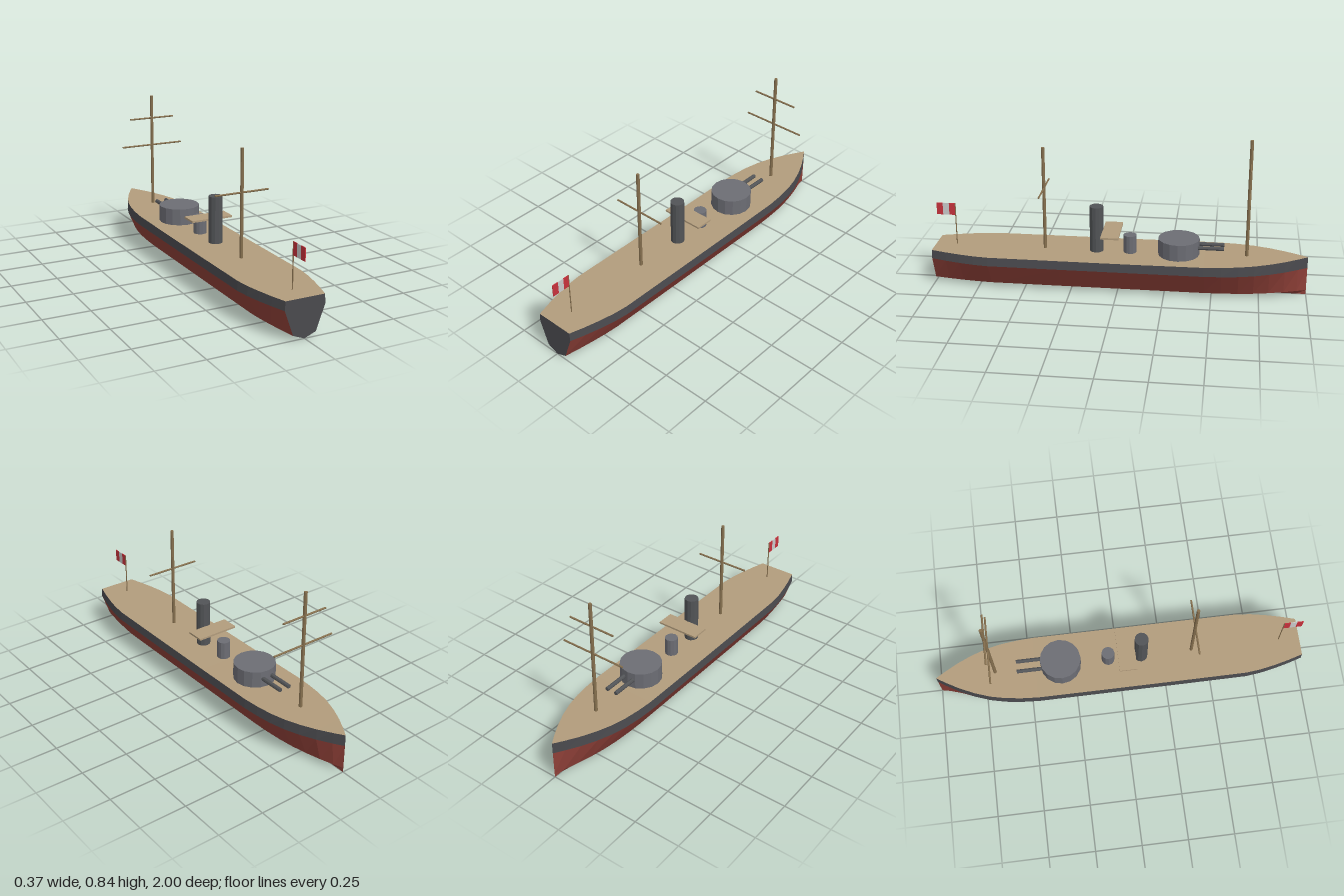
import * as THREE from 'three';

const mat = (color, side = THREE.FrontSide) =>
  new THREE.MeshStandardMaterial({ color, side, flatShading: true });
const RED = mat(0x8f4038, THREE.DoubleSide);
const DARK = mat(0x4a4a4e, THREE.DoubleSide);
const DECK = mat(0xb29c7c, THREE.DoubleSide);
const WOOD = mat(0x86704f);
const STEEL = mat(0x6c6d74);
const FUNNEL = mat(0x525457);
const FLAG_RED = mat(0xc8323c), FLAG_WHITE = mat(0xcccccc);

// Hull stations from stern to bow: [z, half beam]
const STATIONS = [
  [1, 0.108], [0.92, 0.132], [0.84, 0.152], [0.76, 0.168], [0.68, 0.177], [0.3, 0.178],
  [-0.1, 0.178], [-0.46, 0.178], [-0.55, 0.172], [-0.64, 0.16], [-0.72, 0.141],
  [-0.8, 0.112], [-0.88, 0.074], [-0.95, 0.033], [-1, 0.001],
];
const sheer = z => 0.202 + 0.014 * Math.pow(Math.max(0, (-z - 0.3) / 0.7), 1.3);

// Points of one side of a station, from keel up to deck edge
const section = ([z, w], s) => [
  [0, 0.002, z], [s * w * 0.565, 0.026, z], [s * w, 0.155, z], [s * w * 0.972, sheer(z), z],
];

// Skin joining lines of points by quads
function loft(lines) {
  const n = lines[0].length, index = [];
  for (let i = 0; i < lines.length - 1; i++) {
    for (let j = 0; j < n - 1; j++) {
      const a = i * n + j, b = a + n;
      index.push(a, a + 1, b, b, a + 1, b + 1);
    }
  }
  const geo = new THREE.BufferGeometry();
  geo.setAttribute('position', new THREE.Float32BufferAttribute(lines.flat(2), 3));
  geo.setIndex(index);
  const flat = geo.toNonIndexed();
  flat.computeVertexNormals();
  return flat;
}

export function createModel() {
  const root = new THREE.Group();
  const add = (name, geo, material, x = 0, y = 0, z = 0) => {
    const mesh = new THREE.Mesh(geo, material);
    mesh.name = name;
    mesh.position.set(x, y, z);
    root.add(mesh);
    return mesh;
  };
  // Upright cylinder between two heights
  const post = (name, r, y0, y1, z, sides, material) =>
    add(name, new THREE.CylinderGeometry(r, r, y1 - y0, sides), material, 0, (y0 + y1) / 2, z);

  // Hull: port (+x) and starboard (-x) skins wound outwards
  for (const [side, s] of [['left', 1], ['right', -1]]) {
    const lines = STATIONS.map(st => section(st, s));
    if (s < 0) lines.reverse();
    const part = (a, b) => loft(lines.map(l => l.slice(a, b).reverse()));
    add(side + 'LowerHull', part(0, 3), RED);
    add(side + 'HullBand', part(2, 4), DARK);
  }

  // Deck and transom
  add('deck', loft(STATIONS.map(st => [section(st, -1)[3], section(st, 1)[3]])), DECK);
  const left = section(STATIONS[0], 1), right = section(STATIONS[0], -1);
  add('transom', loft(left.map((p, i) => [right[i], p])), DARK);

  // Gun turret with twin barrels
  post('turret', 0.11, 0.195, 0.293, -0.32, 16, STEEL);
  for (const s of [-1, 1]) {
    const barrel = add(s > 0 ? 'leftBarrel' : 'rightBarrel',
      new THREE.CylinderGeometry(0.011, 0.011, 0.17, 8), FUNNEL, s * 0.028, 0.252, -0.475);
    barrel.rotation.x = Math.PI / 2;
  }

  // Conning tower, funnel and bridge platform
  post('conningTower', 0.035, 0.195, 0.299, -0.06, 12, STEEL);
  post('funnel', 0.037, 0.195, 0.454, 0.12, 12, FUNNEL);
  add('bridgePlatform', new THREE.BoxGeometry(0.234, 0.01, 0.095), DECK, 0, 0.317, 0.038);

  // Masts with yards: [name, z, top, [[yard height, half length], ...]]
  const masts = [
    ['foreMast', -0.68, 0.845, [[0.559, 0.183], [0.717, 0.133]]],
    ['aftMast', 0.4, 0.768, [[0.542, 0.15]]],
  ];
  for (const [name, z, top, yards] of masts) {
    post(name, 0.009, 0.195, top, z, 8, WOOD);
    for (const [y, half] of yards) {
      const yard = add(name + 'Yard', new THREE.CylinderGeometry(0.005, 0.005, half * 2, 6),
        WOOD, 0, y, z);
      yard.rotation.z = Math.PI / 2;
    }
  }

  // Striped flag on its staff at the stern
  post('flagStaff', 0.003, 0.195, 0.435, 0.887, 6, WOOD);
  for (let i = 0; i < 3; i++) {
    add('flagStripe', new THREE.BoxGeometry(0.004, 0.066, 0.034),
      i === 1 ? FLAG_WHITE : FLAG_RED, 0, 0.402, 0.904 + i * 0.034);
  }
  return root;
}
